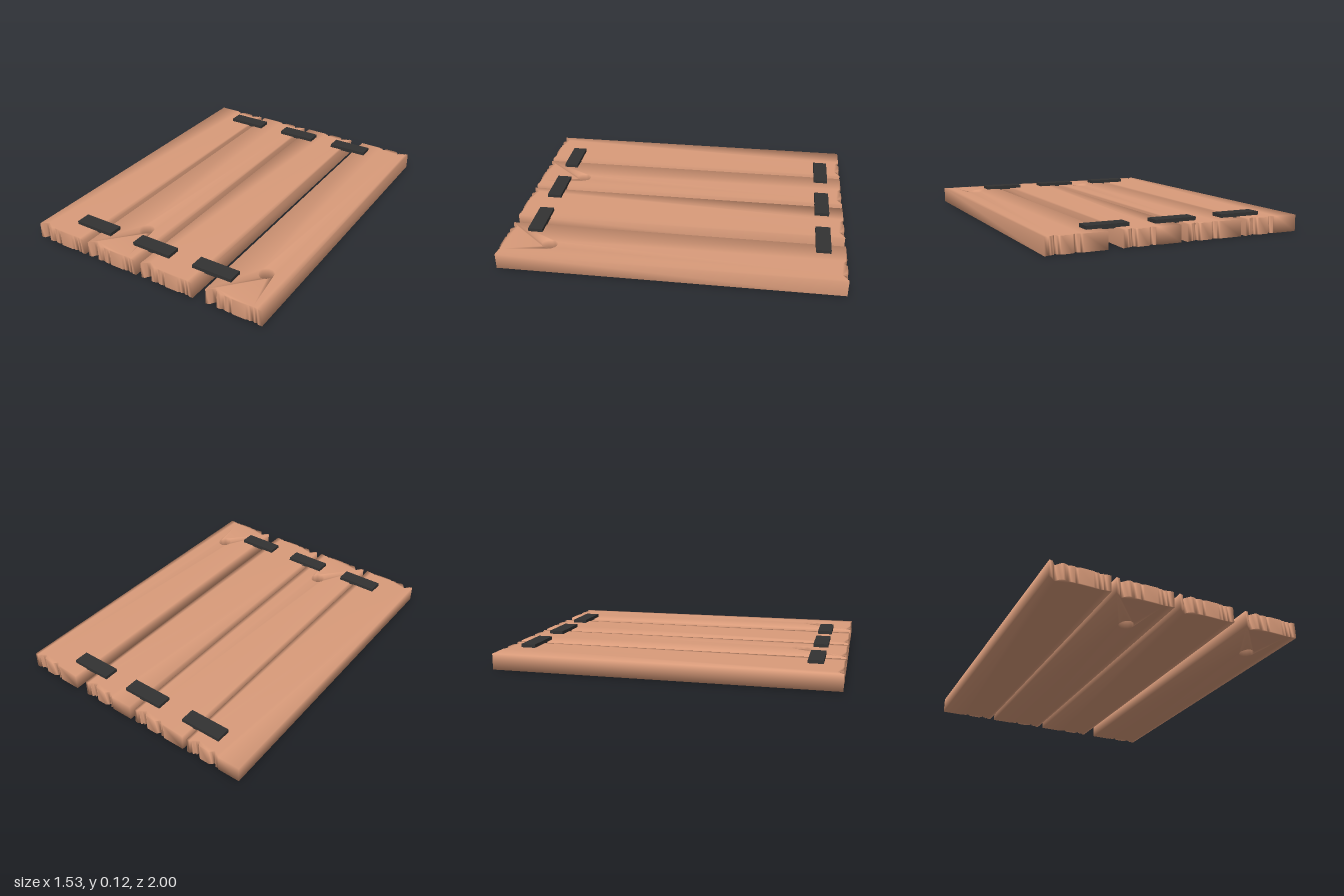
import * as THREE from 'three';
import { mergeVertices } from 'three/addons/utils/BufferGeometryUtils.js';

const PLANK_W = 0.345, PLANK_H = 0.095;

// Worn ends: [distance from the plank's left edge, depth of the cut]
const FRONT_WEAR = [
  [0.02, 0.004], [0.03, 0.02], [0.043, 0.037], [0.055, 0.02], [0.068, 0.003], [0.08, 0],
  [0.095, 0.004], [0.108, 0.01], [0.122, 0.003], [0.14, 0.002], [0.153, 0.009], [0.165, 0],
  [0.245, 0], [0.258, 0.006], [0.27, 0.002], [0.285, 0.01], [0.3, 0.002], [0.31, 0.007], [0.322, 0],
];
const BACK_WEAR = [
  [0.135, 0], [0.145, 0.008], [0.155, 0.004], [0.163, 0.012], [0.172, 0.025], [0.182, 0.01], [0.195, 0],
  [0.255, 0], [0.265, 0.006], [0.272, 0.012], [0.281, 0.034], [0.29, 0.012], [0.298, 0.018],
  [0.308, 0.004], [0.318, 0.01], [0.328, 0],
];

// Outline drawn in plan, then laid flat; shared corners give the soft, streaked shading
function plankGeometry(hasKnot) {
  const outline = [
    [0, -1], ...FRONT_WEAR.map(([x, d]) => [x, d - 1]), [PLANK_W, -1],
    [PLANK_W, 1], ...BACK_WEAR.map(([x, d]) => [x, 1 - d]).reverse(), [0, 1],
  ];
  const shape = new THREE.Shape(outline.map(([x, y]) => new THREE.Vector2(x, y)));
  if (hasKnot) {
    const knot = [];
    for (let i = 0; i < 14; i++) {
      const a = -i / 14 * Math.PI * 2;
      const narrow = 1 + 0.12 * Math.sin(a);
      knot.push(new THREE.Vector2(0.203 + 0.043 * narrow * Math.cos(a), -0.717 + 0.048 * Math.sin(a)));
    }
    shape.holes.push(new THREE.Path(knot));
  }
  let geometry = new THREE.ExtrudeGeometry(shape, { depth: PLANK_H, bevelEnabled: false });
  geometry.rotateX(-Math.PI / 2);
  geometry.deleteAttribute('normal');
  geometry.deleteAttribute('uv');
  geometry = mergeVertices(geometry, 1e-5);
  geometry.computeVertexNormals();
  return geometry;
}

export function createModel() {
  const group = new THREE.Group();
  const wood = new THREE.MeshStandardMaterial({ color: 0xd99b7a });
  const iron = new THREE.MeshStandardMaterial({ color: 0x333333 });

  // Four unevenly spaced planks, every second one with a knot hole
  const solid = plankGeometry(false), knotted = plankGeometry(true);
  [-0.767, -0.392, -0.01, 0.419].forEach((x, i) => {
    const plank = new THREE.Mesh(i % 2 ? knotted : solid, wood);
    plank.name = `plank${i + 1}`;
    plank.position.x = x;
    group.add(plank);
  });

  // Flat iron plates bridging each gap at both ends
  const plateGeometry = new THREE.BoxGeometry(0.25, 0.025, 0.088);
  for (const z of [-0.869, 0.84]) {
    for (const x of [-0.445, -0.028, 0.379]) {
      const plate = new THREE.Mesh(plateGeometry, iron);
      plate.name = z < 0 ? 'backPlate' : 'frontPlate';
      plate.position.set(x, 0.1025, z);
      group.add(plate);
    }
  }
  return group;
}
